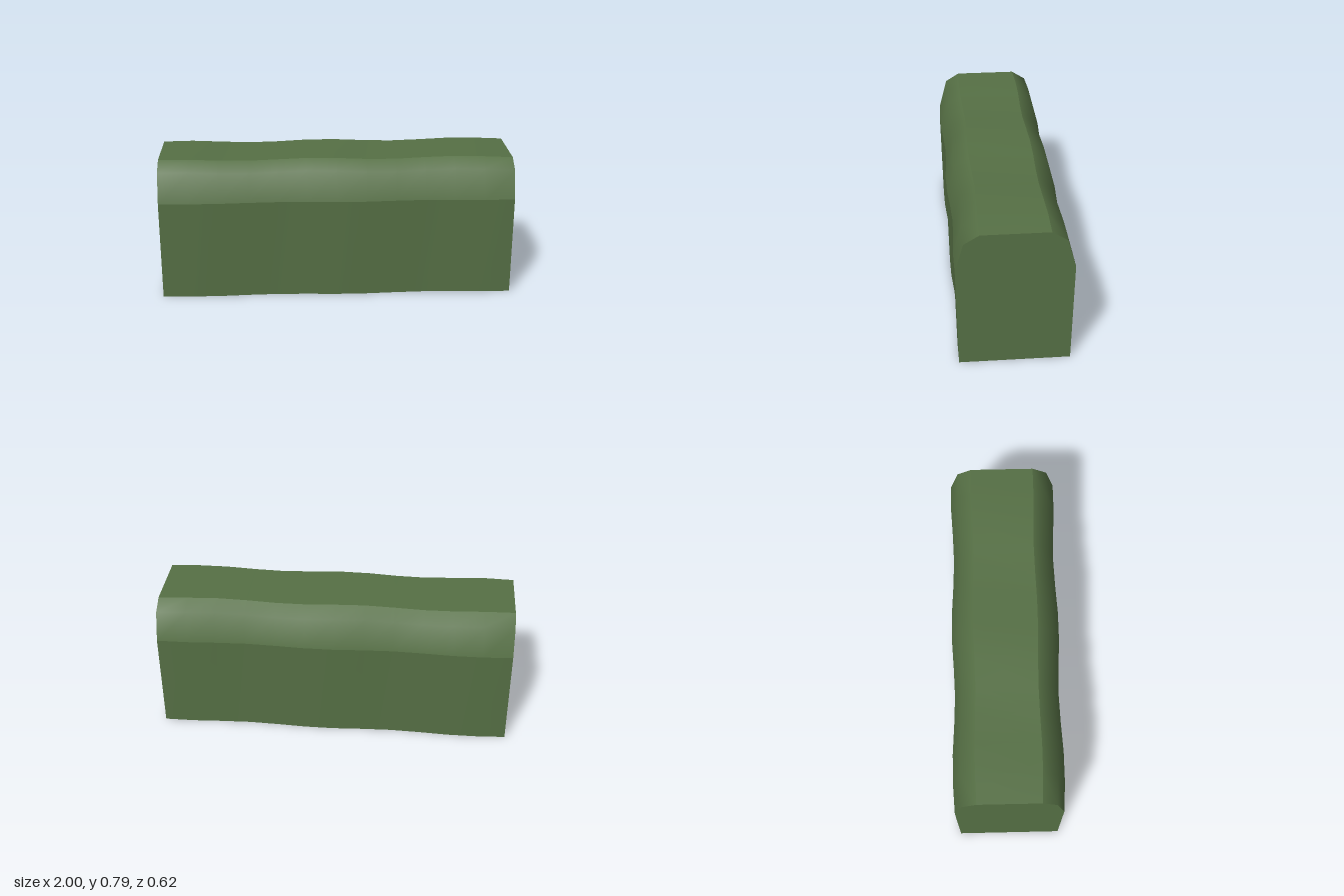
import * as THREE from 'three';

const SEGMENTS = 12;

// Half profile as [z, y, height wave], from the ground up to the flat top
const HALF = [[0.296, 0, 0], [0.309, 0.57, 0], [0.264, 0.734, 1], [0.182, 0.784, 1]];
const PROFILE = [...HALF, ...[...HALF].reverse().map(([z, y, w]) => [-z, y, w])];

// Point of the profile at x, with gentle waves in width and height
function point(x, k) {
  const [z, y, wave] = PROFILE[k % PROFILE.length];
  const width = 0.975 + 0.027 * Math.cos((2 * Math.PI * (x - 0.083)) / 0.833);
  const lift = 0.0065 * Math.cos((2 * Math.PI * (x + 0.1)) / 0.8);
  return [x, y + wave * lift, z * width];
}

function surface(positions, index) {
  const geometry = new THREE.BufferGeometry();
  geometry.setAttribute('position', new THREE.Float32BufferAttribute(positions, 3));
  geometry.setIndex(index);
  geometry.computeVertexNormals();
  return geometry;
}

// Smooth strip along x between two profile points
function strip(from, to) {
  const rows = to - from + 1, positions = [], index = [];
  for (let i = 0; i <= SEGMENTS; i++) {
    for (let k = from; k <= to; k++) positions.push(...point(-1 + (2 * i) / SEGMENTS, k));
  }
  for (let i = 0; i < SEGMENTS; i++) {
    for (let r = 0; r < rows - 1; r++) {
      const a = i * rows + r, b = a + rows;
      index.push(a, b, b + 1, a, b + 1, a + 1);
    }
  }
  return surface(positions, index);
}

// Flat end cap
function cap(x) {
  const positions = PROFILE.flatMap((_, k) => point(x, k)), index = [];
  for (let k = 1; k < PROFILE.length - 1; k++) {
    index.push(0, ...(x > 0 ? [k + 1, k] : [k, k + 1]));
  }
  return surface(positions, index);
}

export function createModel() {
  const hedge = new THREE.Group();
  hedge.name = 'hedge';
  const leaves = new THREE.MeshStandardMaterial({ color: 0x567045 });
  leaves.name = 'leaf green';

  const parts = {
    frontSide: strip(0, 1),
    frontShoulder: strip(1, 3),
    top: strip(3, 4),
    backShoulder: strip(4, 6),
    backSide: strip(6, 7),
    underside: strip(7, 8),
    leftEnd: cap(1),
    rightEnd: cap(-1),
  };
  for (const [name, geometry] of Object.entries(parts)) {
    const mesh = new THREE.Mesh(geometry, leaves);
    mesh.name = name;
    hedge.add(mesh);
  }
  return hedge;
}
